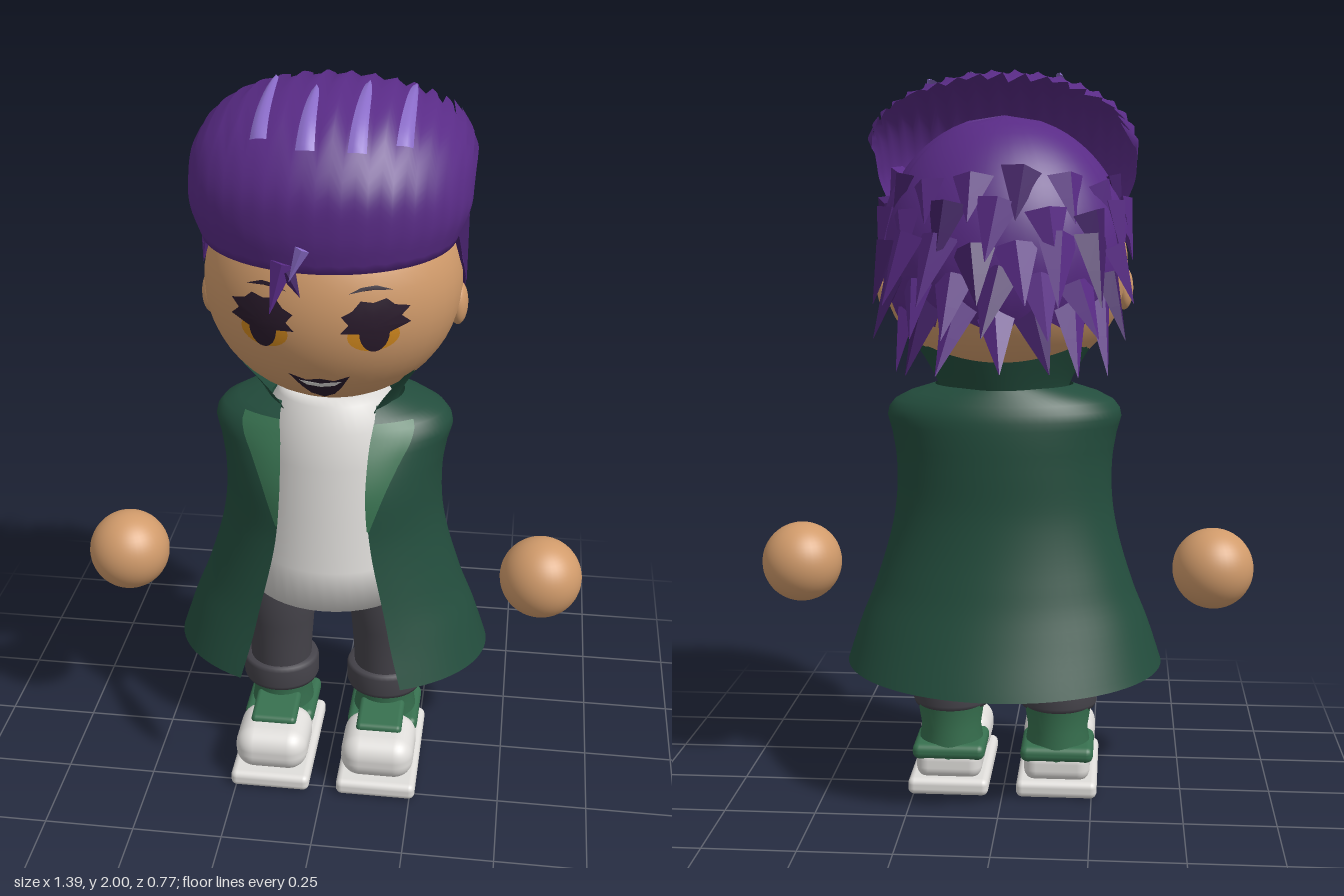
import * as THREE from 'three';
import { RoundedBoxGeometry } from 'three/addons/geometries/RoundedBoxGeometry.js';

const COLORS = {
  hairPurple: 0x592b86, hairDark: 0x432067, hairLilac: 0x8a6cc8, skin: 0xd19b6b, coatGreen: 0x234d3d,
  trimGreen: 0x37704f, white: 0xe0dedb, charcoal: 0x45434a, eyeDark: 0x2a1b2c, amber: 0xd48a1e,
};
const { sin, cos, PI, sqrt, abs, asin, max } = Math;

// Smooth interpolation through rows of [key, values...]
function profile(rows) {
  const n = rows[0].length - 1;
  const curve = new THREE.CubicInterpolant(rows.map(r => r[0]), rows.flatMap(r => r.slice(1)), n);
  return t => Array.from(curve.evaluate(t));
}

// Surface from a rule f(u, v) -> [x, y, z]
function surface(nu, nv, f) {
  const pos = [], idx = [];
  for (let j = 0; j <= nv; j++) for (let i = 0; i <= nu; i++) {
    pos.push(...f(i / nu, j / nv, i, j));
    if (i < nu && j < nv) {
      const a = j * (nu + 1) + i, b = a + nu + 1;
      idx.push(a, a + 1, b, a + 1, b + 1, b);
    }
  }
  const g = new THREE.BufferGeometry();
  g.setAttribute('position', new THREE.Float32BufferAttribute(pos, 3));
  g.setIndex(idx);
  g.computeVertexNormals();
  return g;
}

// Coat rows: height, half width, front depth, back depth, half opening
const coatRow = profile([
  [0.38, 0.44, 0.355, 0.34, 0.22], [0.5, 0.4, 0.32, 0.29, 0.19], [0.6, 0.36, 0.3, 0.255, 0.17],
  [0.8, 0.305, 0.27, 0.215, 0.128], [0.95, 0.298, 0.26, 0.21, 0.115], [1.03, 0.31, 0.23, 0.208, 0.116],
  [1.09, 0.32, 0.195, 0.2, 0.12], [1.13, 0.28, 0.17, 0.18, 0.125], [1.16, 0.19, 0.145, 0.16, 0.125],
]);
function coatPoint(y, angle, grow = 1) {
  const [w, f, b] = coatRow(y), c = cos(angle);
  const hem = 0.025 * c * max(0, 1 - (y - 0.38) / 0.25);
  return [w * sin(angle) * grow, y + hem, (c > 0 ? f : b) * c * grow];
}
const coatEdge = y => { const r = coatRow(y); return asin(r[3] / r[0]); };

// Swept-back crest: t, centre z, y, side z, y, half width
const crestRow = profile([
  [0, 0.335, 1.605, 0.1, 1.63, 0.32], [0.15, 0.352, 1.7, 0.09, 1.7, 0.35], [0.35, 0.335, 1.83, 0.06, 1.755, 0.358],
  [0.5, 0.24, 1.94, 0.03, 1.78, 0.36], [0.65, 0.09, 1.99, -0.03, 1.79, 0.36],
  [0.8, -0.06, 1.995, -0.1, 1.8, 0.355], [1, -0.23, 1.95, -0.26, 1.84, 0.31],
]);
function crestPoint(a, t, grow = 1) {
  const [pz, py, qz, qy, w] = crestRow(t), c = cos(a);
  return [w * sin(a) * grow, 1.75 + (qy + (py - qy) * c - 1.75) * grow, (qz + (pz - qz) * c) * grow];
}

// Back hair shell, angle measured from straight back
function shellPoint(a, y) {
  const k = (y - 1.5) / (y > 1.5 ? 0.38 : 0.34), r = sqrt(max(0, 1 - k * k));
  return [0.343 * r * sin(a), y, -0.31 * r * cos(a)];
}

// Point on the face
const facePoint = (x, y, off) =>
  [x, y, 0.015 + 0.31 * sqrt(1 - (x / 0.335) ** 2 - ((y - 1.48) / 0.315) ** 2) + off];

// Thin patch on the face, drawn from a centre out to a closed outline
function patch(cx, cy, outline, off, mirror = 1) {
  const n = outline.length;
  return surface(n, 5, (u, v, i) => {
    const [x, y] = outline[i % n];
    return facePoint(mirror * (cx + x * v), cy + y * v, off);
  });
}
const oval = (rx, ry) => Array.from({ length: 24 }, (_, i) => [rx * cos(i * PI / 12), ry * sin(i * PI / 12)]);

// Flat-sided pointed lock of hair
function lock(base, dir, out, length, width) {
  const g = new THREE.CylinderGeometry(0.02 * width, width, length, 4, 2).toNonIndexed();
  g.translate(0, length * 0.35, 0);
  g.scale(1, 1, 0.5);
  const d = new THREE.Vector3(...dir).normalize();
  const side = new THREE.Vector3().crossVectors(d, new THREE.Vector3(...out)).normalize();
  const up = new THREE.Vector3().crossVectors(side, d);
  g.applyMatrix4(new THREE.Matrix4().makeBasis(side, d, up).setPosition(...base));
  g.computeVertexNormals();
  return g;
}

export function createModel() {
  const model = new THREE.Group();
  const mats = {};
  for (const [name, color] of Object.entries(COLORS)) {
    mats[name] = new THREE.MeshStandardMaterial({ color, side: THREE.DoubleSide });
    mats[name].name = name;
  }
  const add = (name, geo, mat, x = 0, y = 0, z = 0, parent = model) => {
    const m = new THREE.Mesh(geo, mats[mat]);
    m.name = name;
    m.position.set(x, y, z);
    parent.add(m);
    return m;
  };
  const ball = (rx, ry, rz) => new THREE.SphereGeometry(1, 40, 28).scale(rx, ry, rz);
  const lathe = (pts, sz = 1) =>
    new THREE.LatheGeometry(pts.map(p => new THREE.Vector2(...p)), 40).scale(1, 1, sz);

  // Head and neck
  add('head', ball(0.335, 0.315, 0.31), 'skin', 0, 1.48, 0.015);
  add('neck', new THREE.CylinderGeometry(0.09, 0.1, 0.14, 24), 'skin', 0, 1.15, 0);

  // Mouth
  add('mouth', patch(0, 1.28, [[-0.08, 0.037], [-0.035, 0.02], [0, 0.028], [0.035, 0.02], [0.075, 0.037],
    [0.05, -0.01], [0.03, -0.04], [0, -0.062], [-0.03, -0.04], [-0.05, -0.01]], 0.004), 'eyeDark');
  add('teeth', patch(0, 1.287, [[-0.055, 0.012], [0, 0.004], [0.055, 0.012], [0.035, -0.005], [0, -0.011], [-0.035, -0.005]],
    0.007), 'white');

  const lashes = [[0.088, 0], [0.066, 0.022], [0.086, 0.042], [0.05, 0.052], [0.03, 0.07], [0, 0.062], [-0.03, 0.068],
    [-0.05, 0.044], [-0.076, 0.03], [-0.058, 0.008], [-0.078, -0.014], [-0.04, -0.016], [0, -0.02], [0.04, -0.018]];
  const brow = [[-0.05, -0.008], [-0.02, 0.006], [0.015, 0.009], [0.055, -0.006], [0.015, -0.001], [-0.02, -0.003]];
  for (const s of [1, -1]) {
    // Eyes, brows, ears and hands
    add('iris', patch(0.135, 1.438, oval(0.062, 0.042), 0.003, s), 'amber');
    add('pupil', patch(0.138, 1.45, oval(0.036, 0.055), 0.006, s), 'eyeDark');
    add('lashes', patch(0.135, 1.465, lashes, 0.007, s), 'eyeDark');
    add('eyebrow', patch(0.125, 1.558, brow, 0.004, s), 'eyeDark');
    add('ear', ball(0.025, 0.058, 0.042), 'skin', s * 0.325, 1.42, 0.005);
    add('hand', ball(0.113, 0.113, 0.113), 'skin', s * 0.583, 0.635, 0.05);

    // Trouser leg with turned-up cuff
    const leg = new THREE.Group();
    leg.name = 'leg';
    leg.position.set(s * 0.152, 0, 0.03);
    model.add(leg);
    add('trouserLeg', lathe([[0.085, 0.25], [0.09, 0.36], [0.097, 0.45], [0.108, 0.55], [0.09, 0.64]]), 'charcoal', 0, 0, 0, leg);
    add('cuff', lathe([[0.085, 0.235], [0.104, 0.238], [0.109, 0.25], [0.109, 0.3], [0.104, 0.311], [0.085, 0.313]], 0.95),
      'charcoal', 0, 0, 0, leg);

    // Shoe
    add('sole', new RoundedBoxGeometry(0.226, 0.048, 0.39, 3, 0.018), 'white', 0, 0.026, 0.06, leg);
    add('toeCap', new RoundedBoxGeometry(0.206, 0.125, 0.2, 5, 0.055), 'white', 0, 0.112, 0.147, leg);
    add('shoeSide', new RoundedBoxGeometry(0.185, 0.09, 0.3, 4, 0.035), 'white', 0, 0.085, 0.035, leg);
    add('ankle', lathe([[0.088, 0.08], [0.092, 0.13], [0.084, 0.18], [0.094, 0.245]], 1.05), 'trimGreen', 0, 0, -0.02, leg);
    add('heelBand', new RoundedBoxGeometry(0.204, 0.045, 0.19, 3, 0.02), 'trimGreen', 0, 0.122, -0.025, leg);
    const tongue = add('tongue', new RoundedBoxGeometry(0.13, 0.03, 0.13, 3, 0.014), 'trimGreen', 0, 0.182, 0.105, leg);
    tongue.rotation.x = 0.12;

    // Lapel folded along the coat opening
    add('lapel', surface(6, 16, (u, v) => {
      const y = 0.86 + 0.27 * v, e = coatEdge(y);
      return coatPoint(y, s * (e - 0.02 + (0.02 + 0.42 * v) * u), 1.035);
    }), 'trimGreen');
  }

  // Hips and shirt
  add('hips', ball(0.225, 0.085, 0.15), 'charcoal', 0, 0.62, 0.02);
  add('shirt', lathe([[0.02, 0.6], [0.235, 0.585], [0.225, 0.7], [0.21, 0.85], [0.2, 1], [0.185, 1.1],
    [0.15, 1.165], [0.135, 1.185], [0.09, 1.175]], 0.9), 'white', 0, 0, 0.015);

  // Coat, open at the front
  add('coat', surface(64, 36, (u, v) => {
    const y = 0.38 + 0.78 * v, e = coatEdge(y);
    return coatPoint(y, e + (2 * PI - 2 * e) * u);
  }), 'coatGreen');

  // Standing collar, flared with pointed front tips
  add('collar', surface(48, 8, (u, v) => {
    const e = 0.75 + 0.1 * v, a = e + (2 * PI - 2 * e) * u, c = cos(a);
    const top = 1.285 + 0.02 * sin(a) ** 2 - (c < 0 ? 0.05 * c * c : 0.03 * c);
    const w = 0.172 + 0.095 * v ** 1.3, d = 0.155 + (c > 0 ? 0.1 : 0.035) * v;
    return [w * sin(a), 1.135 + (top - 1.135) * v, d * c];
  }), 'coatGreen');

  // Crest made of locks that end in a row of points
  const locks = 18;
  add('hairCrest', surface(locks * 2, 26, (u, v, i, j) => {
    const a = (u - 0.5) * PI, edge = i % 2 === 0;
    if (j === 0) { const p = crestPoint(a, 0); return [p[0] * 0.85, p[1] + 0.01, p[2] * 0.85]; }
    const t = (edge ? 0.8 : 0.97 + 0.03 * sin(i * 2.3)) * (j - 1) / 25;
    return crestPoint(a, t, edge ? 1 - 0.05 * t * t : 1);
  }), 'hairPurple');

  // Lilac streaks on the crest
  for (const [x, t0, t1] of [[-0.145, 0.46, 0.76], [-0.03, 0.43, 0.65], [0.09, 0.43, 0.7], [0.195, 0.46, 0.78]]) {
    add('hairStreak', surface(4, 14, (u, v) => {
      const half = 0.055 * sqrt(1 - v) + 0.008;
      return crestPoint(asin(x / 0.36) + (u - 0.5) * 2 * half, t0 + (t1 - t0) * v, 1.016 + 0.02 * sin(PI * u));
    }), 'hairLilac');
  }

  // Small tuft falling on the forehead
  add('foreheadTuft', lock([-0.085, 1.61, 0.335], [-0.25, -1, 0.12], [0, 0, 1], 0.13, 0.03), 'hairPurple');
  add('foreheadTuft', lock([-0.065, 1.6, 0.335], [0.5, -1, 0.1], [0, 0, 1], 0.07, 0.022), 'hairDark');
  add('foreheadStreak', lock([-0.035, 1.66, 0.352], [-0.4, -1, 0], [0, 0, 1], 0.09, 0.018), 'hairLilac');

  // Back hair shell, longer behind than above the ears
  add('backHair', surface(60, 20, (u, v, i) => {
    const a = (u - 0.5) * 3.5;
    const low = (abs(a) < 1.13 ? 1.33 : 1.545) + (i % 4) * 0.008;
    return shellPoint(a, 1.88 + (low - 1.88) * v);
  }), 'hairPurple');

  // Rows of spiky locks: height, count, half spread, length, width, outward lean
  [[1.7, 8, 1.5, 0.13, 0.055, 0.5], [1.62, 9, 1.62, 0.15, 0.058, 0.35], [1.53, 8, 1.1, 0.18, 0.06, 0.5],
    [1.44, 7, 1.0, 0.18, 0.058, 0.6], [1.36, 7, 0.95, 0.19, 0.055, 0.5]]
    .forEach(([y, n, spread, length, width, lean], row) => {
      for (let k = 0; k < n; k++) {
        const a = spread * (2 * k / (n - 1) - 1), wob = sin(k * 4.7 + row * 2.1);
        const out = [sin(a), 0, -cos(a)];
        const l = lean * (1 - 0.55 * abs(sin(a)));
        const dir = [out[0] * l + 0.18 * wob * cos(a), -0.85, out[2] * l + 0.18 * wob * sin(a)];
        add('hairLock', lock(shellPoint(a, y + 0.015 * wob), dir, out, length * (1 + 0.12 * wob), width),
          (k + row) % 3 === 0 ? 'hairDark' : 'hairPurple');
      }
    });
  return model;
}
